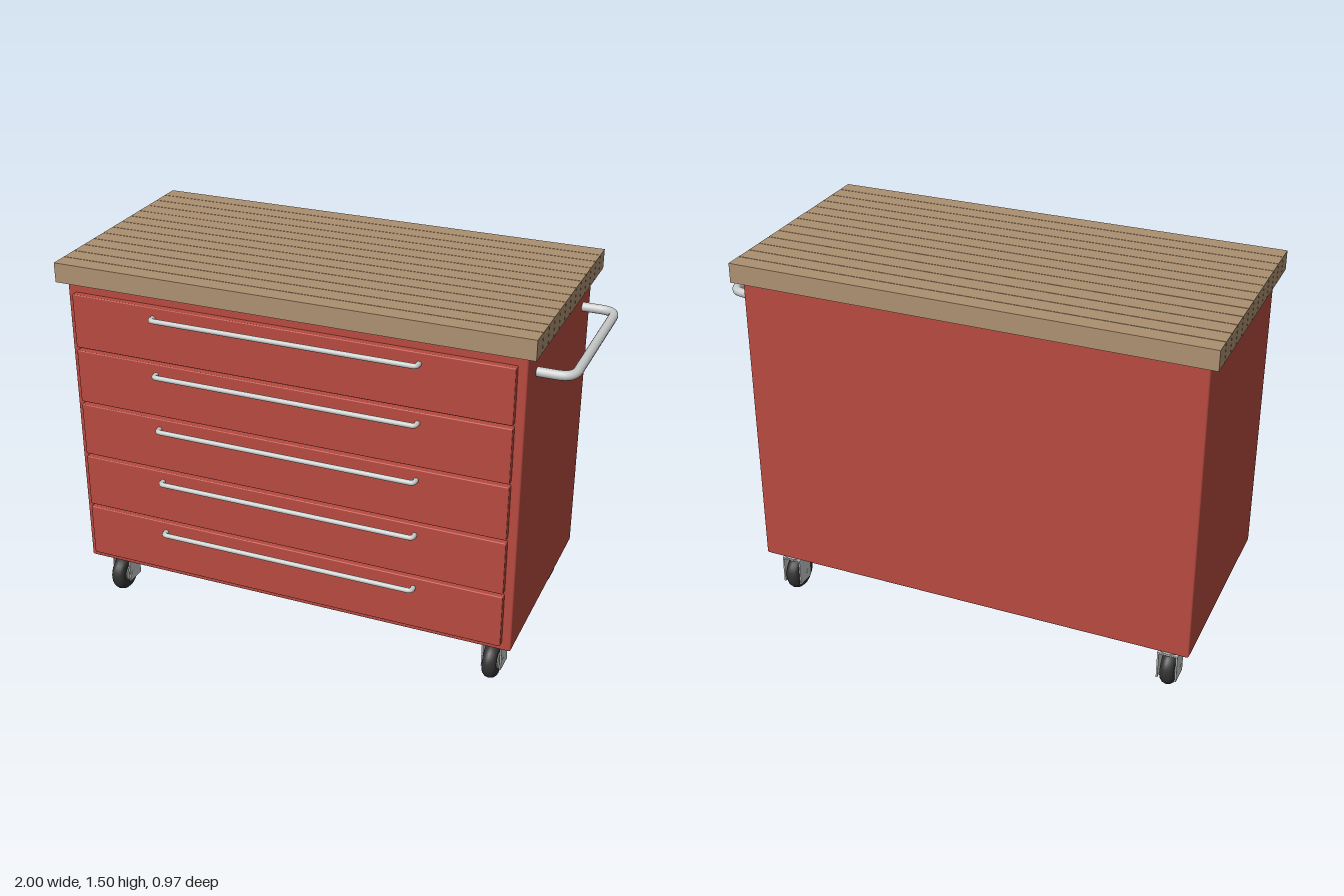
import * as THREE from 'three';
import { RoundedBoxGeometry } from 'three/addons/geometries/RoundedBoxGeometry.js';

const material = (name, color) => {
  const m = new THREE.MeshStandardMaterial({ color });
  m.name = name;
  return m;
};

// U-shaped path with rounded corners; samples are shared evenly between its five pieces
class BarPath extends THREE.Curve {
  constructor(a, b, c, d, r) {
    super();
    const toward = (p, q) => p.clone().add(q.clone().sub(p).setLength(r));
    const [b0, b1, c0, c1] = [toward(b, a), toward(b, c), toward(c, b), toward(c, d)];
    this.pieces = [
      new THREE.LineCurve3(a, b0), new THREE.QuadraticBezierCurve3(b0, b, b1),
      new THREE.LineCurve3(b1, c0), new THREE.QuadraticBezierCurve3(c0, c, c1),
      new THREE.LineCurve3(c1, d),
    ];
  }
  getPoint(t, target = new THREE.Vector3()) {
    const s = Math.min(Math.max(t, 0), 1) * 5;
    const i = Math.min(Math.floor(s), 4);
    return target.copy(this.pieces[i].getPoint(s - i));
  }
  getPointAt(u, target) { return this.getPoint(u, target); }
  getTangentAt(u, target) { return this.getTangent(u, target); }
}

export function createModel() {
  const model = new THREE.Group();
  model.name = 'rollingToolCabinet';
  const red = material('red paint', 0xb84a40);
  const wood = material('wood', 0xac9070);
  const steel = material('steel', 0xc8caca);
  const rubber = material('black rubber', 0x323232);

  const add = (parent, name, geometry, mat, x = 0, y = 0, z = 0) => {
    const mesh = new THREE.Mesh(geometry, mat);
    mesh.name = name;
    mesh.position.set(x, y, z);
    parent.add(mesh);
    return mesh;
  };
  const v = (x, y, z) => new THREE.Vector3(x, y, z);
  const bar = (name, points, corner, radius) =>
    add(model, name, new THREE.TubeGeometry(new BarPath(...points, corner), 40, radius, 16), steel);

  // Cabinet body
  const midX = -0.058;
  add(model, 'cabinet', new RoundedBoxGeometry(1.815, 1.222, 0.88, 3, 0.008), red, midX, 0.806, -0.015);

  // Drawers with long pull handles
  for (let i = 0; i < 5; i++) {
    const y = 1.268 - i * 0.2325;
    add(model, 'drawerFront', new RoundedBoxGeometry(1.75, 0.22, 0.03, 2, 0.004), red, midX - 0.002, y, 0.436);
    const h = y + 0.067, left = -0.589, right = 0.466;
    bar('drawerHandle', [v(left, h, 0.445), v(left, h, 0.477), v(right, h, 0.477), v(right, h, 0.445)], 0.015, 0.01);
  }

  // Worktop of thirteen planks
  const planks = 13, pitch = 0.942 / planks;
  for (let i = 0; i < planks; i++) {
    add(model, 'worktopPlank', new THREE.BoxGeometry(1.885, 0.078, pitch - 0.003), wood,
      midX, 1.457, -0.487 + (i + 0.5) * pitch);
  }

  // Push handle on the side
  bar('sideHandle', [v(0.845, 1.308, 0.298), v(0.981, 1.308, 0.298), v(0.981, 1.308, -0.338), v(0.845, 1.308, -0.338)], 0.06, 0.018);

  // Swivel casters, wheel offset forward of the swivel axis
  const tyreProfile = [[0.03, -0.026], [0.052, -0.028], [0.066, -0.025], [0.075, -0.015], [0.079, 0],
    [0.075, 0.015], [0.066, 0.025], [0.052, 0.028], [0.03, 0.026]].map(([r, h]) => new THREE.Vector2(r, h));
  const tyre = new THREE.LatheGeometry(tyreProfile, 40).rotateZ(Math.PI / 2);
  const hub = new THREE.CylinderGeometry(0.036, 0.036, 0.06, 24).rotateZ(Math.PI / 2);
  const axle = new THREE.CylinderGeometry(0.012, 0.012, 0.082, 16).rotateZ(Math.PI / 2);
  for (const x of [-0.876, 0.757]) {
    for (const z of [0.31, -0.382]) {
      const caster = new THREE.Group();
      caster.name = 'caster';
      caster.position.set(x, 0, z);
      add(caster, 'mountingDisc', new THREE.CylinderGeometry(0.048, 0.048, 0.025, 32), steel, 0, 0.183);
      add(caster, 'swivelNeck', new THREE.CylinderGeometry(0.038, 0.038, 0.02, 32), steel, 0, 0.164);
      add(caster, 'forkTop', new THREE.BoxGeometry(0.08, 0.006, 0.084), steel, 0, 0.162);
      for (const side of [-1, 1]) {
        add(caster, 'forkPlate', new THREE.BoxGeometry(0.006, 0.115, 0.084), steel, side * 0.037, 0.1045);
      }
      add(caster, 'tyre', tyre, rubber, 0, 0.079, 0.018);
      add(caster, 'hub', hub, steel, 0, 0.079, 0.018);
      add(caster, 'axle', axle, steel, 0, 0.079, 0.018);
      model.add(caster);
    }
  }
  return model;
}
